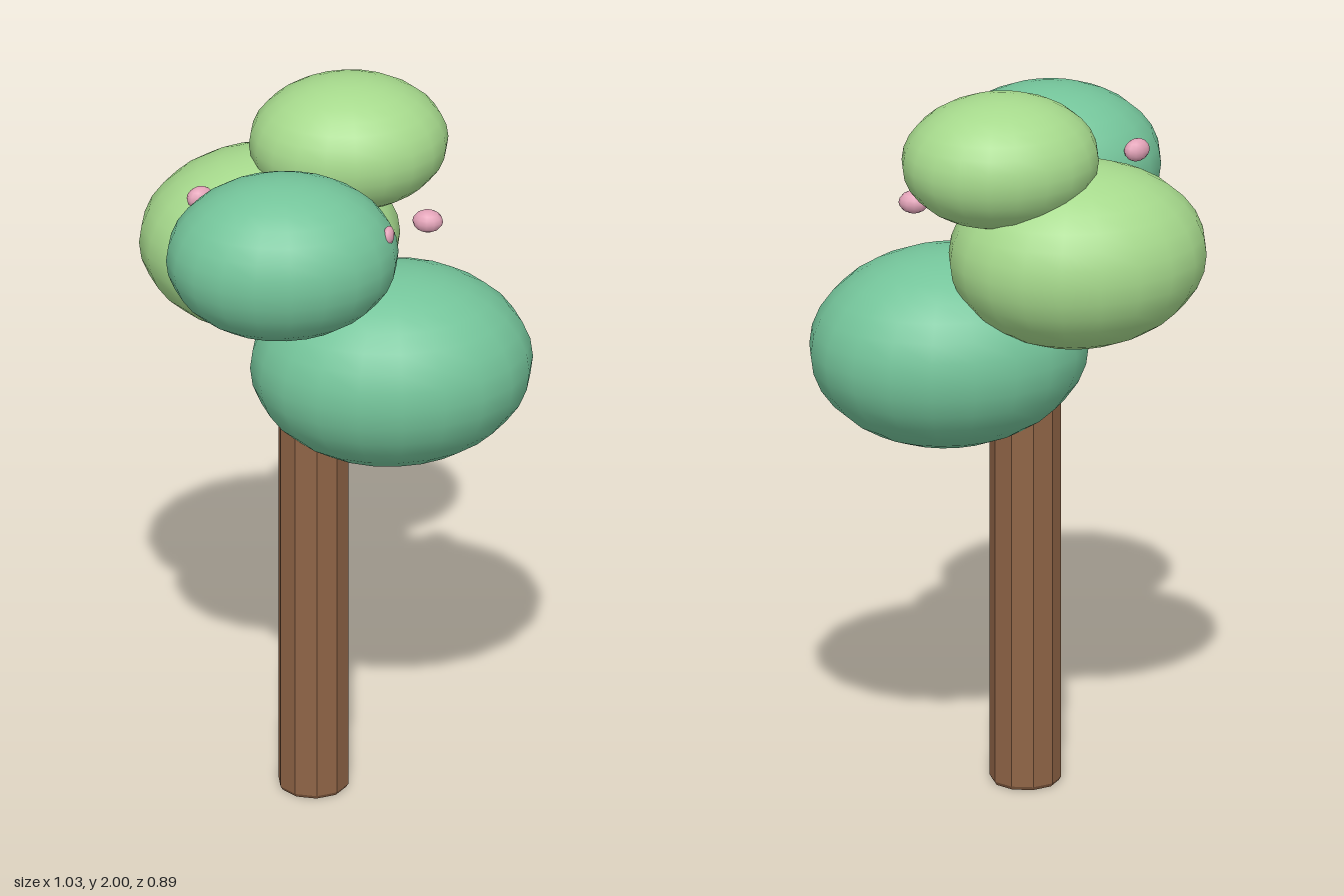
import * as THREE from 'three';

const COLORS = { dark: 0x74c49a, light: 0xa6d98c, pink: 0xe2a3b8, bark: 0x8f6446 };

const material = (color, flatShading = false) => new THREE.MeshStandardMaterial({ color, flatShading });

// Stretched sphere; turn is its rotation about the vertical axis
function ellipsoid(name, mat, center, radii, turn = 0, segments = 20, rings = 16) {
  const mesh = new THREE.Mesh(new THREE.SphereGeometry(1, segments, rings), mat);
  mesh.name = name;
  mesh.position.set(...center);
  mesh.scale.set(...radii);
  mesh.rotation.y = turn;
  return mesh;
}

export function createModel() {
  const group = new THREE.Group();
  group.name = 'tree';

  // Ten-sided trunk with a slightly bevelled foot, reaching into the foliage
  const r = 0.095;
  const profile = [[0, 0], [r - 0.006, 0], [r, 0.01], [r, 1.2], [0, 1.2]].map(([x, y]) => new THREE.Vector2(x, y));
  const trunk = new THREE.Mesh(new THREE.LatheGeometry(profile, 10), material(COLORS.bark, true));
  trunk.name = 'trunk';
  trunk.position.set(-0.07, 0, 0.018);
  group.add(trunk);

  // Foliage clumps
  const dark = material(COLORS.dark);
  const light = material(COLORS.light);
  group.add(
    ellipsoid('lowerDarkFoliage', dark, [0.138, 1.245, 0.018], [0.377, 0.271, 0.307]),
    ellipsoid('upperDarkFoliage', dark, [-0.17, 1.667, 0.2], [0.31, 0.222, 0.245]),
    ellipsoid('lowerLightFoliage', light, [-0.17, 1.54, -0.163], [0.348, 0.25, 0.283]),
    ellipsoid('upperLightFoliage', light, [0.04, 1.82, -0.158], [0.266, 0.18, 0.218])
  );

  // Small blossoms
  const pink = material(COLORS.pink);
  group.add(
    ellipsoid('rightBlossom', pink, [-0.372, 1.755, 0.01], [0.038, 0.031, 0.026], 0.4, 12, 8),
    ellipsoid('leftBlossom', pink, [0.235, 1.658, 0.013], [0.041, 0.031, 0.032], -0.2, 12, 8),
    ellipsoid('frontBlossom', pink, [0.108, 1.743, 0.256], [0.015, 0.026, 0.026], -0.32, 12, 8)
  );

  return group;
}
